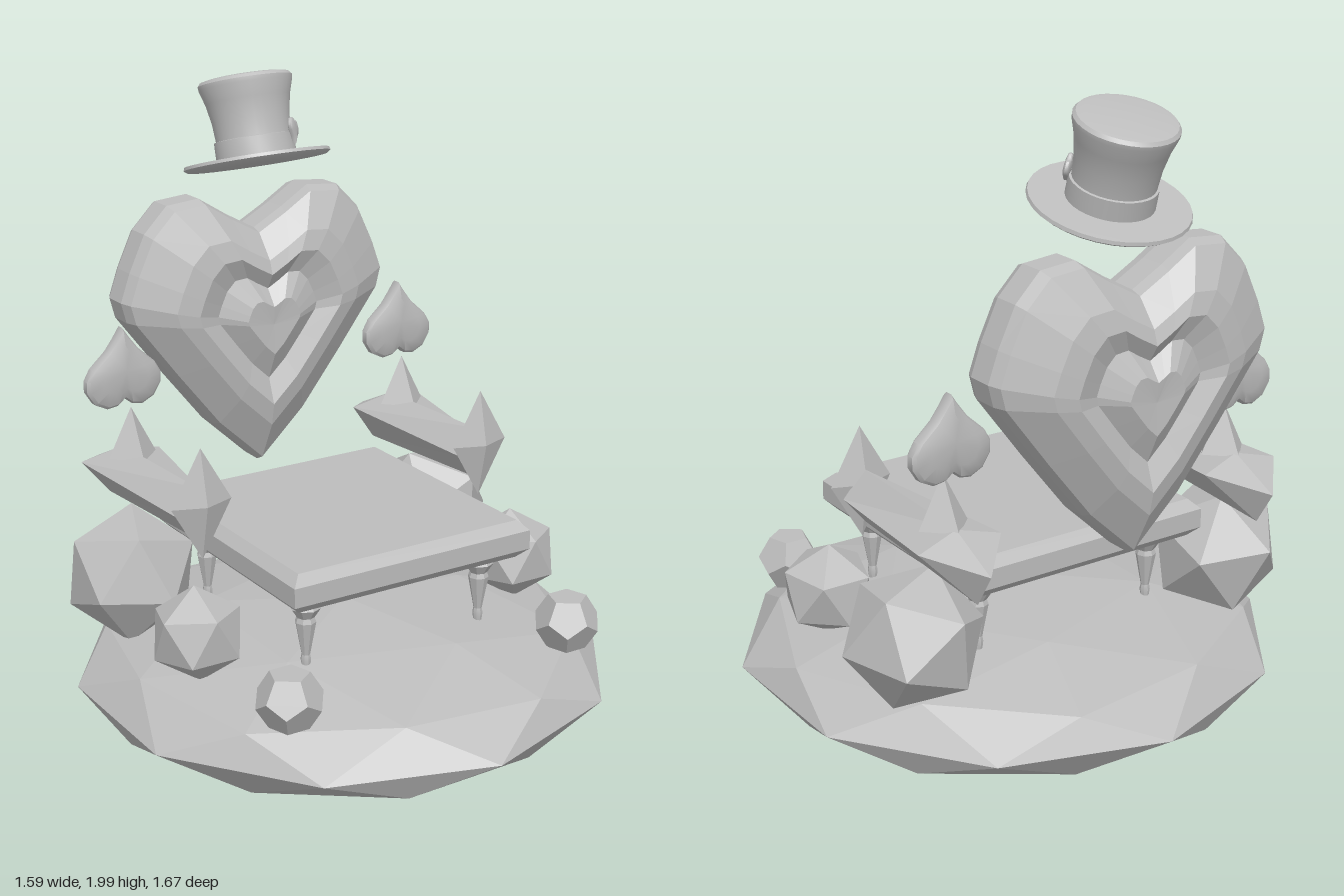
import * as THREE from 'three';
import { toCreasedNormals } from 'three/addons/utils/BufferGeometryUtils.js';

const T = (1 + Math.sqrt(5)) / 2;
const V = (x, y, z) => new THREE.Vector3(x, y, z);

// Skin closed sections (clockwise seen from +z, ordered back to front)
function loft(sections) {
  const pos = [];
  const tri = (a, b, c) => {
    if (V(...b).sub(V(...a)).cross(V(...c).sub(V(...a))).length() > 1e-9) pos.push(...a, ...b, ...c);
  };
  for (let j = 0; j < sections.length - 1; j++) {
    const s = sections[j], t = sections[j + 1], n = s.length;
    for (let i = 0; i < n; i++) {
      const k = (i + 1) % n;
      tri(s[i], t[i], t[k]);
      tri(s[i], t[k], s[k]);
    }
  }
  const g = new THREE.BufferGeometry();
  g.setAttribute('position', new THREE.Float32BufferAttribute(pos, 3));
  g.computeVertexNormals();
  return g;
}

// Faceted heart: half outline about its centre, rings of [scale, half thickness] from rim to middle
function heart(half, rings) {
  const outline = [...half, ...half.slice(1, -1).reverse().map(([x, y]) => [-x, y])];
  const ring = (s, z) => outline.map(([x, y]) => [x * s, y * s, z]);
  return loft([
    ...rings.slice().reverse().map(([s, z]) => ring(s, -z)),
    ...rings.map(([s, z]) => ring(s, z)),
  ]);
}

// Icosahedron turned so that two neighbouring corners point along a and b
function gem(radius, a, b, detail = 0) {
  const frame = (p, q) => {
    const u = p.clone().normalize();
    const v = q.clone().addScaledVector(u, -q.dot(u)).normalize();
    return new THREE.Matrix4().makeBasis(u, v, u.clone().cross(v));
  };
  const m = frame(a, b).multiply(frame(V(0, 1, T), V(0, -1, T)).transpose());
  return new THREE.IcosahedronGeometry(radius, detail).applyMatrix4(m);
}

export function createModel() {
  const model = new THREE.Group();
  const stone = new THREE.MeshStandardMaterial({ color: 0xbcbcbc });
  stone.name = 'light grey';
  const add = (name, geo, x = 0, y = 0, z = 0, parent = model) => {
    const mesh = new THREE.Mesh(geo, stone);
    mesh.name = name;
    mesh.position.set(x, y, z);
    parent.add(mesh);
    return mesh;
  };

  // Floating faceted island
  const island = gem(0.835, V(0, 1, 0), V(1, 0.5, 0), 1).scale(1, 0.21 / 0.835, 1);
  island.computeVertexNormals();
  add('island', island, 0, 0.21, 0);

  // Bevelled seat slab
  const bevel = 0.03, hw = 0.415 - bevel, hd = 0.42 - bevel;
  const square = new THREE.Shape([
    new THREE.Vector2(-hw, -hd), new THREE.Vector2(hw, -hd),
    new THREE.Vector2(hw, hd), new THREE.Vector2(-hw, hd),
  ]);
  const slab = new THREE.ExtrudeGeometry(square, {
    depth: 0.06, bevelEnabled: true, bevelThickness: 0.03, bevelSize: bevel, bevelSegments: 1,
  });
  slab.rotateX(-Math.PI / 2);
  add('seat', slab, 0, 0.626, -0.02);

  // Turned legs
  const legProfile = [[0, 0.375], [0.013, 0.375], [0.016, 0.40], [0.013, 0.415], [0.032, 0.52], [0.027, 0.535],
    [0.046, 0.565], [0.036, 0.585], [0.036, 0.60], [0, 0.60]].map(p => new THREE.Vector2(...p));
  const leg = toCreasedNormals(new THREE.LatheGeometry(legProfile, 8), 0.3);
  for (const x of [-0.31, 0.31]) for (const z of [-0.31, 0.285]) add('leg', leg, x, 0, z);

  // Heart-shaped backrest, centred on y = 1.2
  const backOutline = [[0, 0.29], [0.1, 0.345], [0.196, 0.405], [0.307, 0.395], [0.386, 0.315], [0.44, 0.2],
    [0.472, 0.11], [0.455, 0.045], [0.307, -0.15], [0.16, -0.335], [0, -0.485]];
  add('heartBackrest', heart(backOutline, [[1, 0.04], [0.965, 0.075], [0.7, 0.14], [0.55, 0.155],
    [0.38, 0.125], [0.2, 0.165], [0, 0.16]]), 0, 1.2, -0.565);

  // Armrest: four-sided bar flaring to a pointed rear
  const arm = loft([
    [[0, 0.785, -0.66], [0, 0.785, -0.66], [0, 0.785, -0.66], [0, 0.785, -0.66]],
    [[0, 0.865, -0.49], [0.135, 0.83, -0.51], [0, 0.68, -0.595], [-0.135, 0.83, -0.51]],
    [[0, 0.88, 0], [0.07, 0.80, 0], [0, 0.715, 0], [-0.07, 0.80, 0]],
    [[0, 0.80, 0], [0, 0.80, 0], [0, 0.80, 0], [0, 0.80, 0]],
  ]);
  const diamond = new THREE.OctahedronGeometry(1).scale(0.1, 0.173, 0.038);
  diamond.computeVertexNormals();
  const spike = toCreasedNormals(new THREE.ConeGeometry(0.08, 0.155, 4), 0.1);

  // Spade: upside-down heart with soft faces
  const spadeOutline = [[0, 0.095], [0.025, 0.115], [0.06, 0.12], [0.1, 0.1], [0.125, 0.06], [0.125, 0.025],
    [0.105, -0.01], [0.05, -0.06], [0.02, -0.1], [0, -0.13]];
  const spade = toCreasedNormals(heart(spadeOutline,
    [[1, 0.012], [0.93, 0.022], [0.6, 0.033], [0, 0.036]]).rotateZ(Math.PI), 0.6);

  // Loose crystals
  const bigGem = gem(0.215, V(0.2, -0.02, 0.04), V(0.06, 0.148, 0.173));
  const middleGem = gem(0.147, V(0, 1, -0.1), V(0, 0.5, 1));
  const smallGem = new THREE.DodecahedronGeometry(0.1).rotateX(-Math.atan2(1, T));

  for (const s of [1, -1]) {
    const side = new THREE.Group();
    side.name = s > 0 ? 'leftSide' : 'rightSide';
    model.add(side);
    add('armrest', arm, s * 0.5, 0, 0, side);
    add('diamondCap', diamond, s * 0.5, 0.836, 0.018, side);
    add('spike', spike, s * 0.5, 0.933, -0.425, side);
    add('spade', spade, s * 0.505, 1.125, -0.467, side);
    const big = add('largeCrystal', bigGem, s * 0.555, 0.5, -0.35, side);
    if (s < 0) big.rotation.y = -2 * Math.atan2(0.2, 0.04) + 0.45;
    add('mediumCrystal', middleGem, s * 0.572, 0.477, 0.107, side);
    add('smallCrystal', smallGem, s * 0.492, 0.405, 0.495, side);
  }

  // Tilted top hat
  const hat = new THREE.Group();
  hat.name = 'topHat';
  hat.position.set(0, 1.707, -0.4975);
  hat.rotation.x = -0.285;
  model.add(hat);
  const lathe = pts => toCreasedNormals(
    new THREE.LatheGeometry(pts.map(p => new THREE.Vector2(...p)), 32), 0.7);
  add('brim', lathe([[0, -0.008], [0.22, -0.008], [0.231, 0], [0.228, 0.01], [0.13, 0.012], [0, 0.012]]), 0, 0, 0, hat);
  add('crown', lathe([[0.118, 0], [0.118, 0.07], [0.122, 0.13], [0.133, 0.19], [0.147, 0.235],
    [0.148, 0.248], [0.14, 0.258], [0.12, 0.262], [0, 0.262]]), 0, 0, 0, hat);
  add('hatBand', lathe([[0.118, 0.01], [0.126, 0.012], [0.125, 0.07], [0.117, 0.072]]), 0, 0, 0, hat);

  // Small heart badge on the band
  const badge = add('heartBadge', spade.clone().rotateZ(Math.PI).scale(0.3, 0.32, 0.3), 0.092, 0.072, 0.092, hat);
  badge.rotation.set(0, Math.PI / 4, -0.25);

  return model;
}
